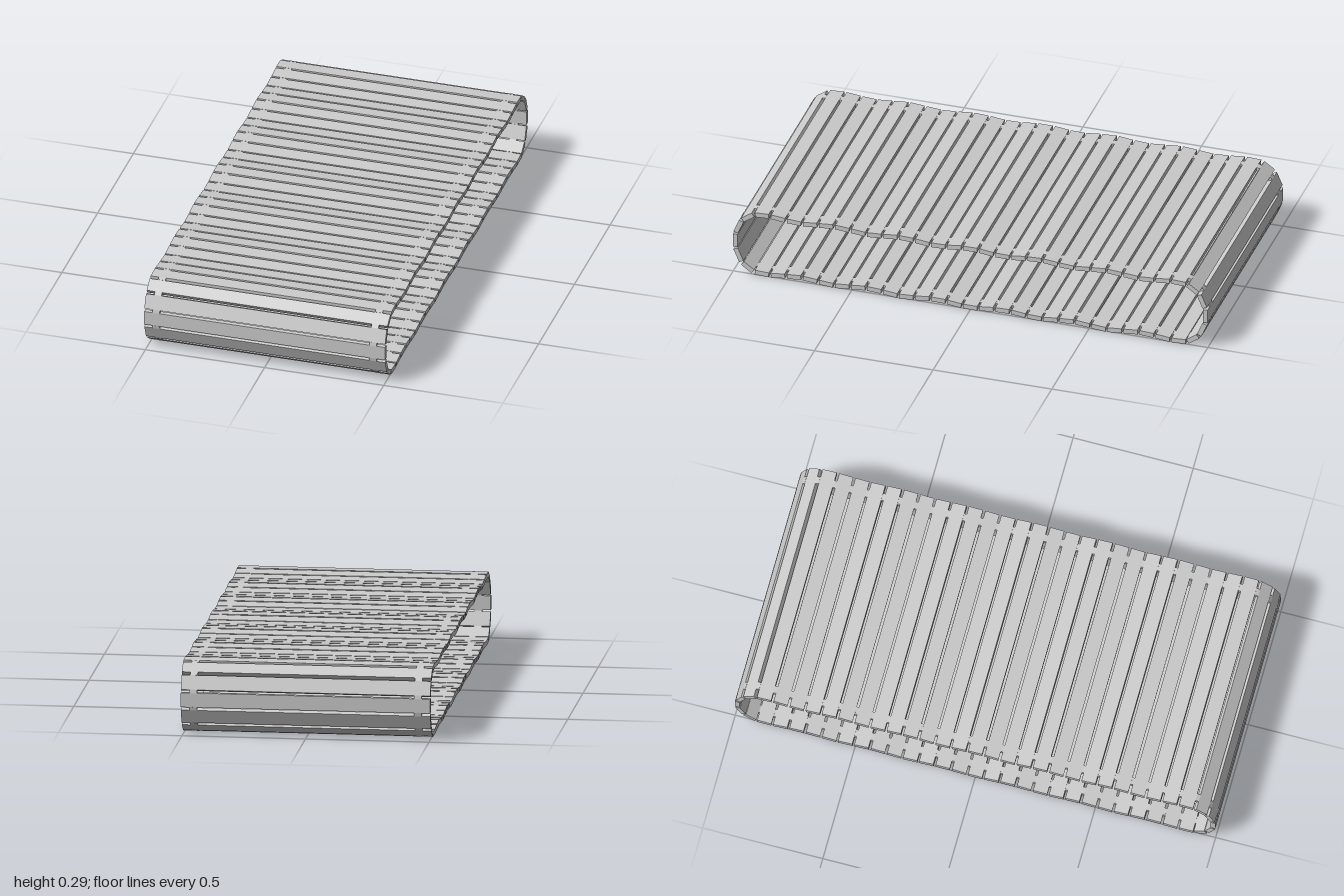
import * as THREE from 'three';

const WIDTH = 1.01, THICK = 0.02, GAP = 0.009;
const MID_Y = 0.1475, SPAN = 27, END_Z = 0.912;

// Joint positions (z, y) of the closed belt, running along the top, round the
// front, back along the bottom and round the rear
function beltJoints() {
  const joints = [];
  const ripple = z => 0.1315 + 0.006 * Math.cos(z * Math.PI * 2 / 0.287);
  const bend = [[0.963, 0.098], [0.99, 0.034], [0.99, -0.034], [0.963, -0.098]];
  for (const side of [1, -1]) {
    for (let i = 0; i <= SPAN; i++) {
      const z = -END_Z + (2 * END_Z * i) / SPAN;
      joints.push(new THREE.Vector2(side * z, MID_Y + side * ripple(z)));
    }
    for (const [z, y] of bend) joints.push(new THREE.Vector2(side * z, MID_Y + side * y));
  }
  return joints;
}

export function createModel() {
  const group = new THREE.Group();
  group.name = 'slattedBelt';
  const material = new THREE.MeshStandardMaterial({ color: 0xcccccc, flatShading: true });

  // Box whose length follows the belt direction
  function addBox(name, width, thick, length, x, centre, dir) {
    const mesh = new THREE.Mesh(new THREE.BoxGeometry(width, thick, length), material);
    mesh.name = name;
    mesh.position.set(x, centre.y, centre.x);
    mesh.rotation.x = -Math.atan2(dir.y, dir.x);
    group.add(mesh);
  }

  const joints = beltJoints();
  const n = joints.length;
  for (let i = 0; i < n; i++) {
    const prev = joints[(i + n - 1) % n], a = joints[i], b = joints[(i + 1) % n];
    const along = b.clone().sub(a);

    // Rigid slat between two joints
    addBox('slat', WIDTH, THICK, along.length() - GAP, 0, a.clone().add(b).multiplyScalar(0.5), along);

    // Pair of hinge tabs bridging the gap at the joint
    for (const x of [-0.455, 0.455]) {
      addBox('hingeTab', 0.03, THICK * 0.9, GAP * 1.6, x, a, b.clone().sub(prev));
    }
  }
  return group;
}
